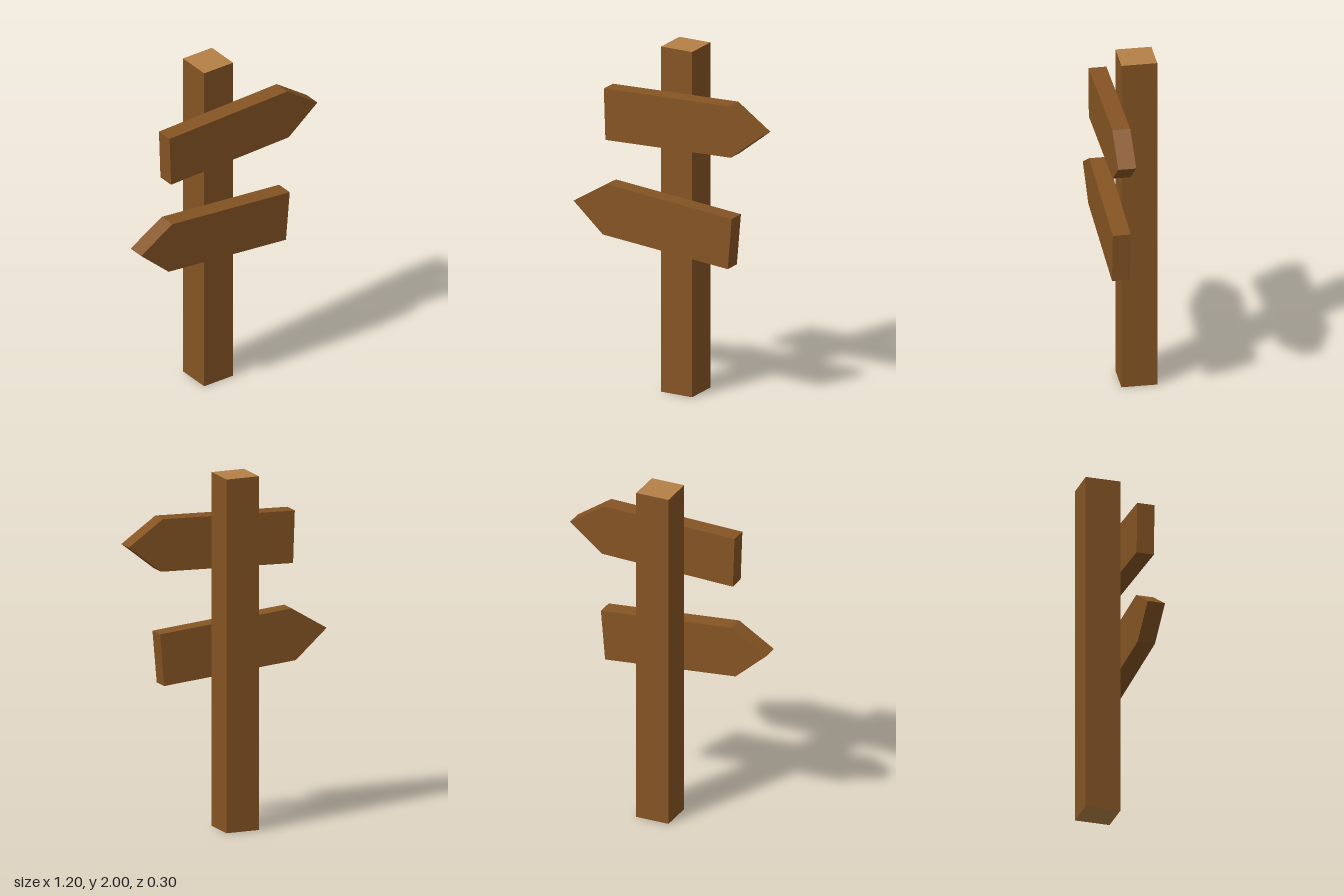
import * as THREE from 'three';

export function createModel() {
  const group = new THREE.Group();
  const wood = new THREE.MeshStandardMaterial({ color: 0x855423 });
  wood.name = 'brown wood';
  const cutWood = new THREE.MeshStandardMaterial({ color: 0xb58046 });
  cutWood.name = 'pale cut wood';

  // Square post with paler end grain at top and bottom
  const post = new THREE.Mesh(
    new THREE.BoxGeometry(0.197, 2, 0.2),
    [wood, wood, cutWood, cutWood, wood, wood]
  );
  post.name = 'post';
  post.position.set(-0.002, 1, -0.05);
  group.add(post);

  // Pointed board; dir is +1 or -1 for the side it points to, tilt lifts the tip
  function addBoard(name, x, y, dir, tilt) {
    const h = 0.148;
    const corners = [[-0.4, -h], [0.4, -h], [0.6, 0], [0.4, h], [-0.4, h]];
    const shape = new THREE.Shape(corners.map(([px, py]) => new THREE.Vector2(px * dir, py)));
    const geometry = new THREE.ExtrudeGeometry(shape, { depth: 0.1, bevelEnabled: false });
    const board = new THREE.Mesh(geometry, wood);
    board.name = name;
    board.position.set(x, y, 0.05);
    board.rotation.z = THREE.MathUtils.degToRad(tilt) * dir;
    group.add(board);
  }
  addBoard('upperBoard', -0.003, 1.6, 1, 2);
  addBoard('lowerBoard', -0.003, 1, -1, 5);

  return group;
}
